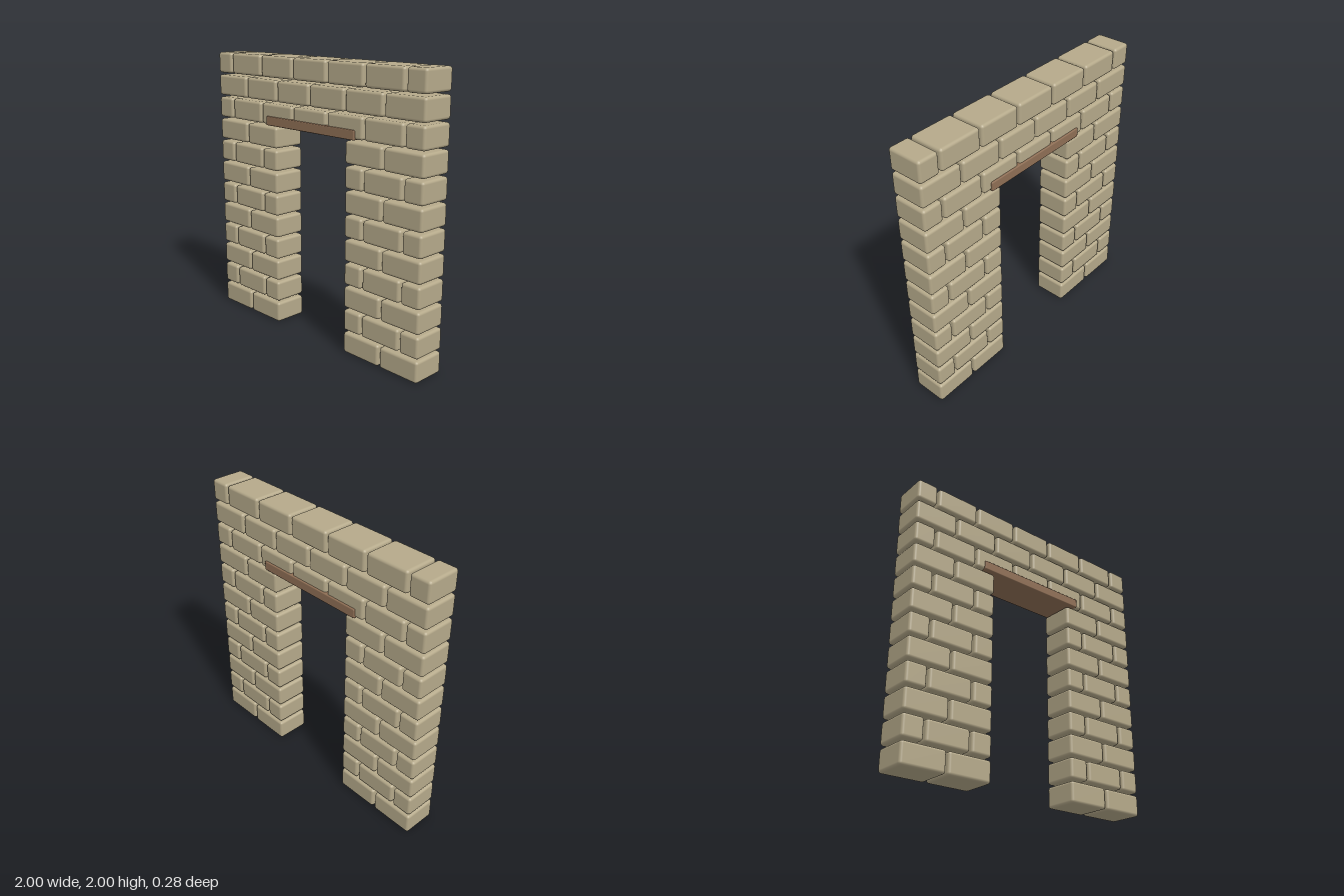
import * as THREE from 'three';
import { RoundedBoxGeometry } from 'three/addons/geometries/RoundedBoxGeometry.js';

const GAP = 0.016;      // open joint between stones
const FULL = 0.32;      // full stone length
const HALF = 0.152;     // half stone length
const HEIGHT = 0.152;
const DEPTH = 0.25;
const ROWS = 12;
const DOOR_ROWS = 9;    // courses interrupted by the doorway

export function createModel() {
  const group = new THREE.Group();
  const stone = new THREE.MeshStandardMaterial({ color: 0xb5a98a });
  stone.name = 'sandstone';
  const wood = new THREE.MeshStandardMaterial({ color: 0x8f6f55 });
  wood.name = 'brown wood';

  const fullGeo = new RoundedBoxGeometry(FULL, HEIGHT, DEPTH, 2, 0.02);
  const halfGeo = new RoundedBoxGeometry(HALF, HEIGHT, DEPTH, 2, 0.02);

  // Lay one course from left to right, skipping stones inside the doorway
  for (let row = 0; row < ROWS; row++) {
    const course = new THREE.Group();
    course.name = `stoneCourse${row + 1}`;
    const lengths = row % 2 === 0
      ? Array(6).fill(FULL)
      : [HALF, ...Array(5).fill(FULL), HALF];
    // Door courses that alternate need half stones beside the opening
    const side = row % 2 === 0 ? [FULL, FULL] : [HALF, FULL, HALF];

    const lay = (list, start) => {
      let x = start;
      for (const length of list) {
        const brick = new THREE.Mesh(length === FULL ? fullGeo : halfGeo, stone);
        brick.name = 'stoneBlock';
        brick.position.set(x + length / 2, HEIGHT / 2 + row * (HEIGHT + GAP), 0);
        course.add(brick);
        x += length + GAP;
      }
    };

    if (row < DOOR_ROWS) {
      lay(side, -1);
      lay(side, 1 - 2 * FULL - GAP);
    } else {
      lay(lengths, -1);
    }
    group.add(course);
  }

  // Wooden beam over the doorway, slightly proud of the wall on both faces
  const lintel = new THREE.Mesh(new RoundedBoxGeometry(0.87, 0.066, 0.276, 1, 0.007), wood);
  lintel.name = 'lintel';
  lintel.position.set(0, 1.541, 0);
  group.add(lintel);

  return group;
}
